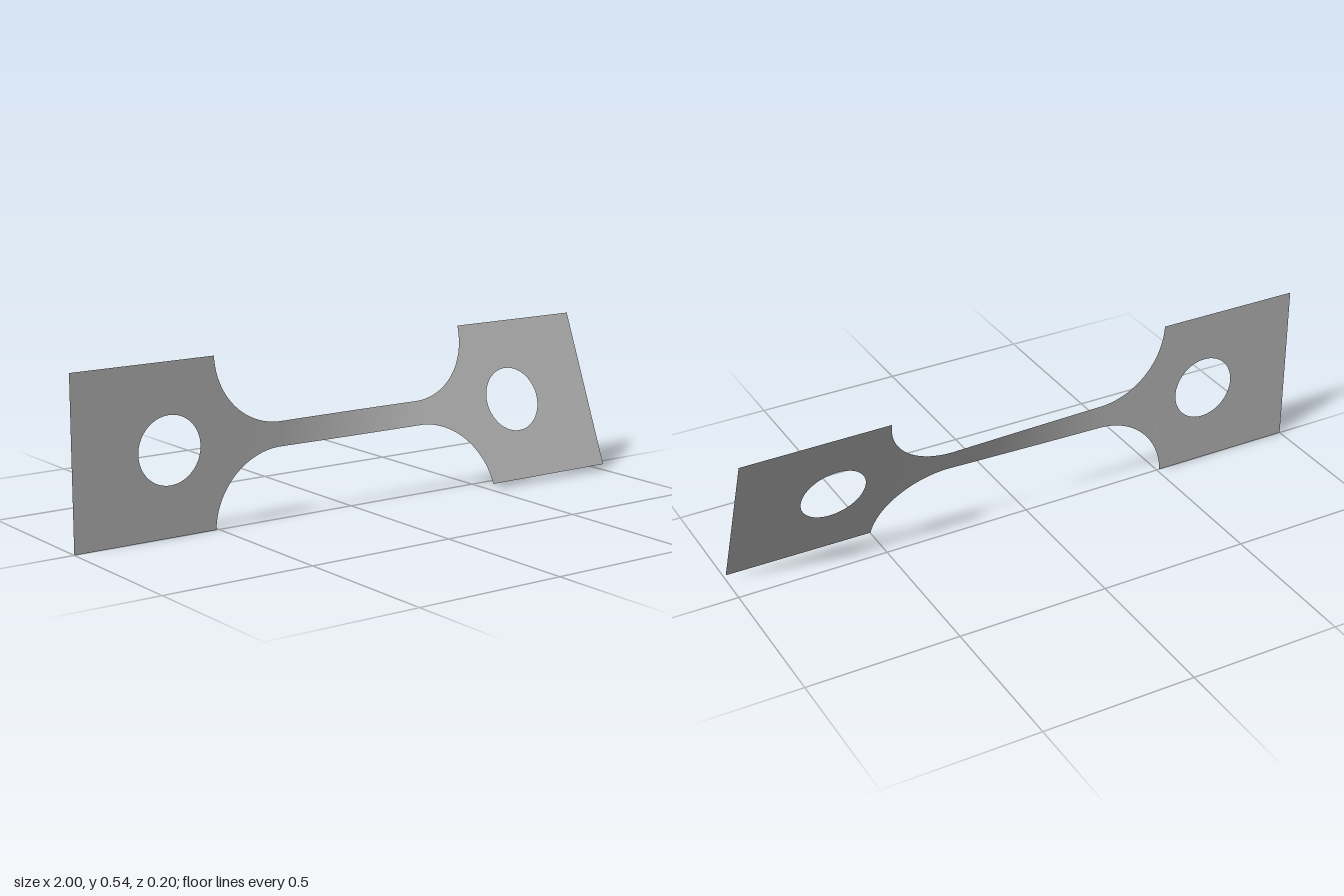
import * as THREE from 'three';

const MID = 0.271, HALF = 0.271, NECK = 0.04, FILLET_X = 0.27, R = 0.24;
const TAB_X = 0.51, HOLE_X = 0.67, HOLE_R = 0.108;

// Twist about the long axis: nearly all of it happens along the narrow neck
const TWIST = [[-1, 0], [-0.5, 0], [-0.27, 0.9], [0.27, 20.7], [0.5, 21.5], [1, 22]];
function twistAt(x) {
  for (let i = 1; i < TWIST.length; i++) {
    const [x0, a0] = TWIST[i - 1], [x1, a1] = TWIST[i];
    if (x <= x1) return THREE.MathUtils.degToRad(a0 + (a1 - a0) * (x - x0) / (x1 - x0));
  }
  return THREE.MathUtils.degToRad(22);
}

// Half width of the neck with its round fillets
function neckHalf(x) {
  const d = Math.max(0, Math.abs(x) - FILLET_X);
  return Math.min(HALF, NECK + R - Math.sqrt(Math.max(0, R * R - d * d)));
}

// Sheet strip from x0 to x1 between two edge curves, twisted about the x axis;
// columns crowd toward both ends so that round edges stay round
function strip(x0, x1, low, high, columns, material) {
  const geometry = new THREE.PlaneGeometry(1, 1, columns, 1);
  const p = geometry.attributes.position;
  for (let i = 0; i < p.count; i++) {
    const t = (1 - Math.cos(Math.PI * (p.getX(i) + 0.5))) / 2;
    const x = x0 + (x1 - x0) * t;
    const v = p.getY(i) > 0 ? high(x) : low(x);
    const a = twistAt(x);
    p.setXYZ(i, x, MID + v * Math.cos(a), -v * Math.sin(a));
  }
  geometry.computeVertexNormals();
  return new THREE.Mesh(geometry, material);
}

// Square tab with a round hole, made of two side strips and two around the hole
function tab(side, material) {
  const group = new THREE.Group();
  const c = side * HOLE_X;
  const inner = side * TAB_X;
  const start = Math.min(side, inner), end = Math.max(side, inner);
  const top = () => HALF, bottom = () => -HALF;
  const arc = (x) => Math.sqrt(Math.max(0, HOLE_R * HOLE_R - (x - c) ** 2));
  const add = (name, ...args) => {
    const mesh = strip(...args, material);
    mesh.name = name;
    group.add(mesh);
  };
  add('tabSide', start, c - HOLE_R, bottom, top, 8);
  add('aboveHole', c - HOLE_R, c + HOLE_R, arc, top, 32);
  add('belowHole', c - HOLE_R, c + HOLE_R, bottom, (x) => -arc(x), 32);
  add('tabSide', c + HOLE_R, end, bottom, top, 8);
  return group;
}

export function createModel() {
  const metal = new THREE.MeshStandardMaterial({ color: 0xc0c0c0, side: THREE.DoubleSide });
  metal.name = 'grey metal';
  const model = new THREE.Group();
  model.name = 'twistedSpecimen';

  const rightTab = tab(-1, metal);
  rightTab.name = 'rightTab';
  const leftTab = tab(1, metal);
  leftTab.name = 'leftTab';

  // Narrow neck flaring into both tabs
  const neck = strip(-TAB_X, TAB_X, (x) => -neckHalf(x), neckHalf, 120, metal);
  neck.name = 'neck';

  model.add(rightTab, neck, leftTab);
  return model;
}
